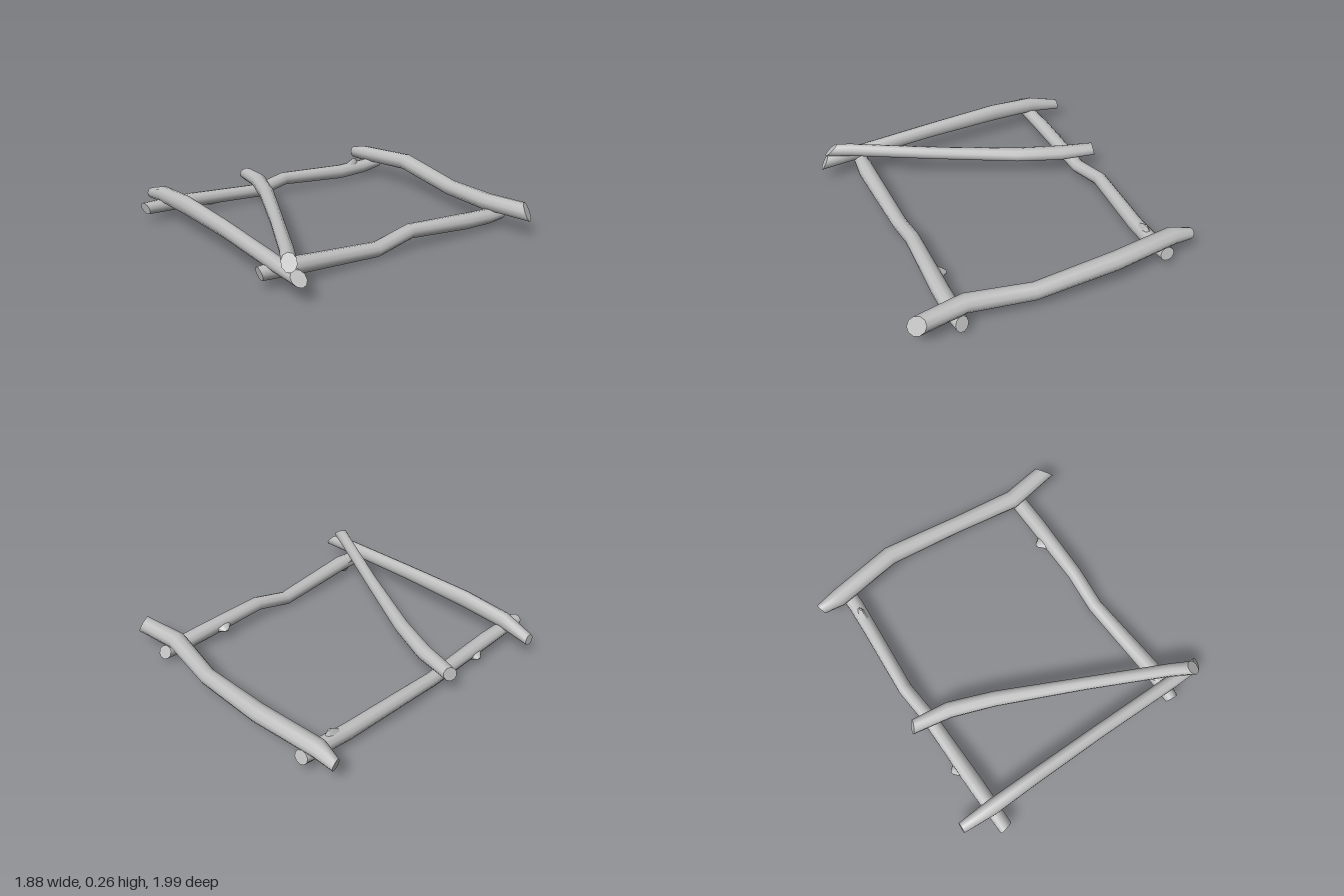
import * as THREE from 'three';

const SIDES = 10;
const wood = new THREE.MeshStandardMaterial({ color: 0xbfbfbf });
wood.name = 'pale grey wood';

// Log swept through stations [x, y, z, half width, half height].
// cutA / cutB slant the two ends: [across the width, across the height].
function log(name, stations, cutA = [0, 0], cutB = [0, 0]) {
  const up = new THREE.Vector3(0, 1, 0);
  const centres = stations.map(([x, y, z]) => new THREE.Vector3(x, y, z));
  const last = stations.length - 1;
  const pos = [], index = [];
  stations.forEach(([, , , w, h], i) => {
    const tangent = centres[Math.min(i + 1, last)].clone()
      .sub(centres[Math.max(i - 1, 0)]).normalize();
    const side = new THREE.Vector3().crossVectors(tangent, up).normalize();
    const top = new THREE.Vector3().crossVectors(side, tangent);
    const cut = i === 0 ? cutA : i === last ? cutB : [0, 0];
    for (let k = 0; k < SIDES; k++) {
      const a = (k / SIDES) * Math.PI * 2 + 0.2;
      const c = Math.cos(a), s = Math.sin(a);
      const p = centres[i].clone().addScaledVector(side, c * w).addScaledVector(top, s * h)
        .addScaledVector(tangent, c * cut[0] + s * cut[1]);
      pos.push(p.x, p.y, p.z);
    }
  });
  for (let i = 0; i < last; i++) {
    for (let k = 0; k < SIDES; k++) {
      const n = (k + 1) % SIDES;
      const a = i * SIDES + k, b = i * SIDES + n, c = a + SIDES, d = b + SIDES;
      index.push(a, c, b, b, c, d);
    }
  }
  // Sawn ends with their own vertices, so the rims stay sharp
  for (const ring of [0, last]) {
    const base = pos.length / 3;
    const from = ring * SIDES * 3;
    pos.push(...pos.slice(from, from + SIDES * 3));
    for (let k = 1; k < SIDES - 1; k++) {
      if (ring === 0) index.push(base, base + k, base + k + 1);
      else index.push(base, base + k + 1, base + k);
    }
  }
  const geo = new THREE.BufferGeometry();
  geo.setAttribute('position', new THREE.Float32BufferAttribute(pos, 3));
  geo.setIndex(index);
  geo.computeVertexNormals();
  const mesh = new THREE.Mesh(geo, wood);
  mesh.name = name;
  return mesh;
}

// Broken twig stub: a cone, stretched along the rail, from inside it to a tip
function stub(name, root, tip) {
  const a = new THREE.Vector3(...root), b = new THREE.Vector3(...tip);
  const dir = b.clone().sub(a);
  const mesh = new THREE.Mesh(new THREE.CylinderGeometry(0.006, 0.045, dir.length(), 8), wood);
  mesh.position.copy(a).add(b).multiplyScalar(0.5);
  mesh.quaternion.setFromUnitVectors(new THREE.Vector3(0, 1, 0), dir.normalize());
  mesh.scale.z = 2.2;
  mesh.name = name;
  return mesh;
}

export function createModel() {
  const group = new THREE.Group();
  group.name = 'logFrame';
  group.add(
    // Two long rails lying on the ground
    log('rightRail', [
      [-0.71, 0.1, 0.98, 0.045, 0.04], [-0.715, 0.095, 0.65, 0.052, 0.047],
      [-0.72, 0.06, 0.12, 0.046, 0.046], [-0.745, 0.1, -0.12, 0.046, 0.046],
      [-0.715, 0.075, -0.6, 0.048, 0.052], [-0.705, 0.085, -0.8, 0.05, 0.05],
      [-0.71, 0.1, -0.95, 0.05, 0.04],
    ], [0.01, -0.01], [0, -0.01]),
    log('leftRail', [
      [0.63, 0.1, 0.91, 0.042, 0.042], [0.645, 0.1, 0.67, 0.056, 0.052],
      [0.625, 0.05, 0.1, 0.048, 0.047], [0.632, 0.112, -0.15, 0.048, 0.046],
      [0.645, 0.083, -0.6, 0.055, 0.052], [0.645, 0.075, -0.8, 0.055, 0.048],
      [0.64, 0.075, -0.91, 0.045, 0.042],
    ], [0, -0.01], [0.01, -0.02]),
    // Crooked log across the back
    log('backBeam', [
      [-0.915, 0.14, -0.885, 0.035, 0.04], [-0.78, 0.165, -0.88, 0.06, 0.054],
      [-0.34, 0.185, -0.94, 0.061, 0.057], [0.18, 0.13, -0.905, 0.054, 0.054],
      [0.59, 0.155, -0.84, 0.062, 0.055], [0.9, 0.16, -0.89, 0.056, 0.056],
    ], [0.01, 0], [0.025, -0.03]),
    // Straight log across the front
    log('frontBeam', [
      [-0.935, 0.122, 0.83, 0.036, 0.036], [-0.72, 0.17, 0.838, 0.05, 0.054],
      [-0.4, 0.186, 0.835, 0.046, 0.062], [0.1, 0.18, 0.83, 0.044, 0.053],
      [0.7, 0.155, 0.83, 0.045, 0.048], [0.89, 0.145, 0.825, 0.042, 0.042],
    ], [0, 0.01], [-0.015, -0.03]),
    // Diagonal brace resting on the right rail and the front beam
    log('diagonalBrace', [
      [-0.845, 0.16, 0.14, 0.045, 0.042], [-0.6, 0.175, 0.18, 0.053, 0.048],
      [-0.32, 0.18, 0.285, 0.05, 0.046], [0.2, 0.2, 0.53, 0.042, 0.042],
      [0.7, 0.225, 0.775, 0.042, 0.042], [0.83, 0.22, 0.845, 0.045, 0.04],
    ], [-0.01, 0.015], [0, -0.045]),
    // Twig stubs
    stub('rightRailStub', [-0.71, 0.077, 0.51], [-0.795, 0.065, 0.5]),
    stub('rightRailTopStub', [-0.708, 0.08, -0.71], [-0.7, 0.16, -0.73]),
    stub('leftRailStub', [0.64, 0.087, -0.47], [0.55, 0.08, -0.48]),
    stub('leftRailLowerStub', [0.64, 0.1, 0.68], [0.635, 0.025, 0.71]),
  );
  return group;
}
